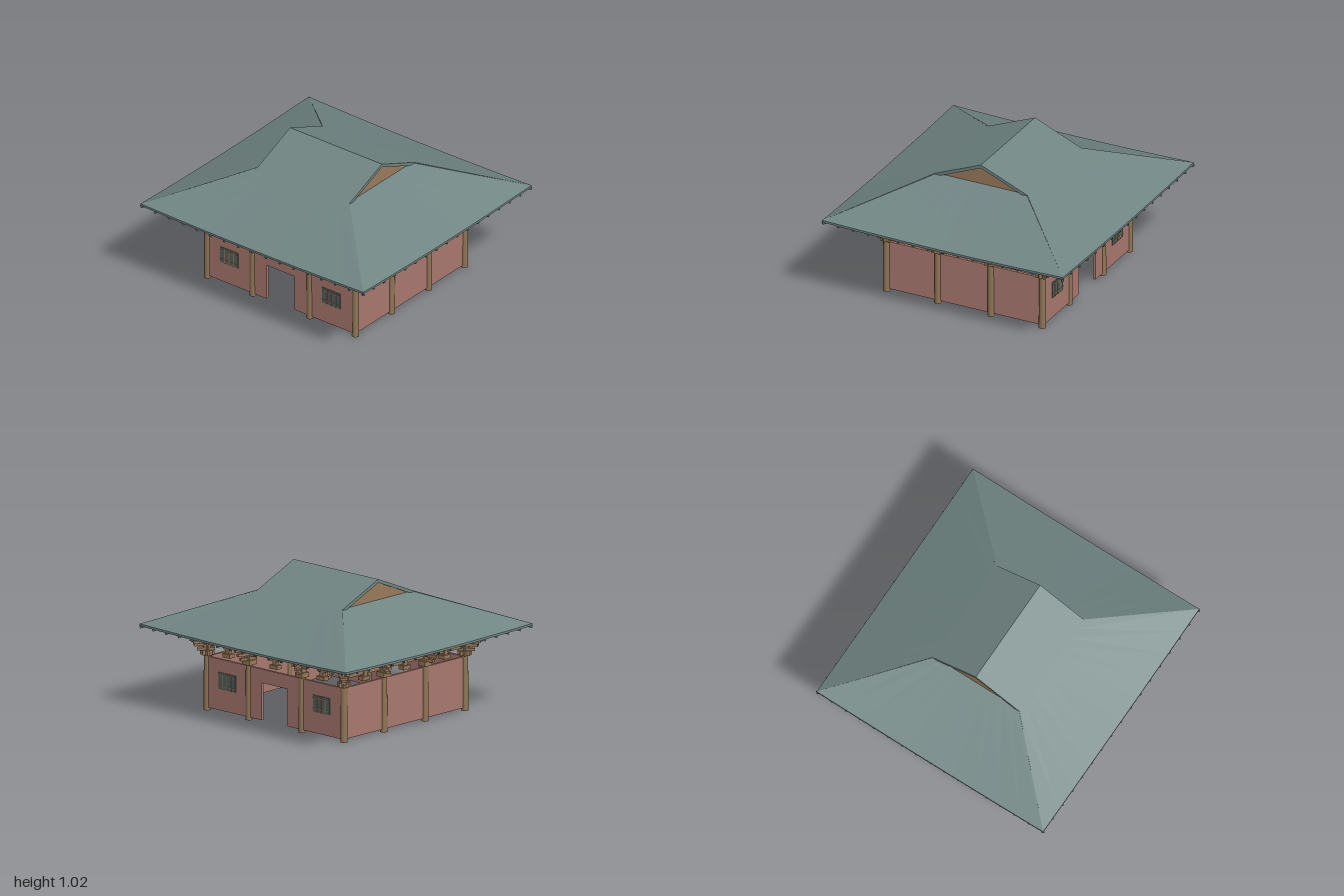
import * as THREE from 'three';

const mat = (name, color, side = THREE.FrontSide) => {
  const m = new THREE.MeshStandardMaterial({ color, side });
  m.name = name;
  return m;
};

export function createModel() {
  const tile = mat('roof teal', 0x708583, THREE.DoubleSide);
  const rafterTeal = mat('rafter teal', 0x5f7472);
  const plaster = mat('wall red', 0xaa7970);
  const columnWood = mat('column wood', 0x8f7556);
  const wood = mat('bracket wood', 0x98785a);
  const gableWood = mat('gable wood', 0x9a7b5c, THREE.DoubleSide);
  const grey = mat('truss grey', 0xa39a8e);
  const blue = mat('beam blue', 0x2b6f9e);
  const lattice = mat('window dark', 0x52615c);

  const model = new THREE.Group();
  model.name = 'hall';
  const add = (parent, name, geo, material, x = 0, y = 0, z = 0) => {
    const m = new THREE.Mesh(geo, material);
    m.name = name;
    m.position.set(x, y, z);
    parent.add(m);
    return m;
  };
  const box = (parent, name, material, w, h, d, x, y, z) =>
    add(parent, name, new THREE.BoxGeometry(w, h, d), material, x, y, z);
  // Square bar running from point a to point b
  const bar = (parent, name, material, a, b, w, h) => {
    const A = new THREE.Vector3(...a), B = new THREE.Vector3(...b);
    const m = box(parent, name, material, w, h, A.distanceTo(B), 0, 0, 0);
    m.position.copy(A).add(B).multiplyScalar(0.5);
    m.lookAt(B);
    return m;
  };
  const group = (name, parent = model) => {
    const g = new THREE.Group();
    g.name = name;
    parent.add(g);
    return g;
  };

  // ---- Columns ----
  const CX = 0.66, CZ = 0.615, columns = group('columns');
  const shaft = new THREE.CylinderGeometry(0.024, 0.026, 0.4, 16);
  for (const x of [-CX, -0.255, 0.255, CX])
    for (const z of [-CZ, -0.21, 0.21, CZ])
      if (Math.abs(x) === CX || Math.abs(z) === CZ) add(columns, 'column', shaft, columnWood, x, 0.2, z);

  // ---- Walls: door openings front and back, plain sides ----
  const walls = group('walls');
  const outline = [[-0.65, 0.02], [-0.125, 0.02], [-0.125, 0.29], [0.125, 0.29],
    [0.125, 0.02], [0.65, 0.02], [0.65, 0.39], [-0.65, 0.39]];
  const doorWall = new THREE.ExtrudeGeometry(
    new THREE.Shape(outline.map(p => new THREE.Vector2(...p))), { depth: 0.02, bevelEnabled: false });
  doorWall.translate(0, 0, -0.01);
  for (const s of [-1, 1]) {
    const side = group('doorWall', walls);
    side.rotation.y = s > 0 ? 0 : Math.PI;
    add(side, 'wall', doorWall, plaster, 0, 0, CZ);
    for (const x of [-0.455, 0.455]) {
      box(side, 'windowPane', lattice, 0.16, 0.12, 0.008, x, 0.235, CZ + 0.012);
      for (const k of [-1, 0, 1])
        box(side, 'windowBar', wood, 0.006, 0.12, 0.008, x + k * 0.04, 0.235, CZ + 0.015);
      for (const y of [0.2, 0.275])
        box(side, 'windowRail', wood, 0.16, 0.006, 0.008, x, y, CZ + 0.015);
    }
    box(walls, 'sideWall', plaster, 0.02, 0.37, 1.22, s * (CX - 0.005), 0.205, 0);
  }

  // ---- Ring beams ----
  const beams = group('ringBeams');
  for (const s of [-1, 1]) {
    box(beams, 'topBeam', wood, 1.33, 0.025, 0.03, 0, 0.58, s * CZ);
    box(beams, 'topSideBeam', wood, 0.03, 0.025, 1.25, s * (CX - 0.005), 0.58, 0);
    box(beams, 'lowSideBeam', wood, 0.025, 0.025, 1.25, s * (CX - 0.005), 0.468, 0);
  }

  // ---- Brackets: local +z points outward ----
  const trapezoid = (bottom, top, h, depth) => {
    const s = new THREE.Shape([[-bottom, 0], [bottom, 0], [top, h], [-top, h]].map(p => new THREE.Vector2(...p)));
    return new THREE.ExtrudeGeometry(s, { depth, bevelEnabled: false }).translate(0, 0, -depth / 2);
  };
  const brackets = group('brackets');
  const bracket = (x, z, turn, arm, onColumn) => {
    const g = group(onColumn ? 'columnBracket' : 'wallBracket', brackets);
    g.position.set(x, 0, z);
    g.rotation.y = turn;
    if (!onColumn) {
      box(g, 'foot', wood, 0.07, 0.028, 0.05, 0, 0.428, 0);
      box(g, 'neck', wood, 0.035, 0.03, 0.03, 0, 0.455, 0);
      add(g, 'crossArm', trapezoid(arm * 0.25, arm / 2, 0.028, 0.03), wood, 0, 0.47, 0);
      box(g, 'strut', wood, 0.02, 0.06, 0.02, 0, 0.54, 0);
      return;
    }
    box(g, 'cap', wood, 0.07, 0.035, 0.07, 0, 0.418, 0);
    box(g, 'neck', wood, 0.045, 0.04, 0.045, 0, 0.45, 0);
    add(g, 'crossArm', trapezoid(arm * 0.3, arm / 2, 0.03, 0.03), wood, 0, 0.465, 0);
    box(g, 'stack', wood, 0.025, 0.075, 0.03, 0, 0.53, 0);
    for (const y of [0.51, 0.54]) box(g, 'stackBlock', wood, 0.04, 0.012, 0.045, 0, y, 0);
    // Tiers of rising arms, with a short tail inside
    for (let i = 0; i < 3; i++)
      bar(g, 'risingArm', wood, [0, 0.43 + i * 0.028, -0.05], [0, 0.455 + i * 0.042, 0.07 + i * 0.025], 0.024, 0.02);
    box(g, 'tipBlock', wood, 0.035, 0.02, 0.02, 0, 0.555, 0.085);
  };
  for (const s of [-1, 1]) {
    const front = s > 0 ? 0 : Math.PI, side = s * Math.PI / 2;
    for (const x of [-0.255, 0.255]) bracket(x, s * CZ, front, 0.16, true);
    for (const x of [-0.455, 0, 0.455]) bracket(x, s * CZ, front, 0.12, false);
    for (const z of [-0.21, 0.21]) bracket(s * CX, z, side, 0.07, true);
    for (const z of [-0.41, 0, 0.41]) bracket(s * CX, z, side, 0.05, false);
    for (const t of [-1, 1]) {
      bracket(t * CX, s * CZ, front, 0.07, true);
      bracket(t * CX, s * CZ, t * Math.PI / 2, 0.07, true);
      bracket(t * CX, s * CZ, Math.atan2(t, s), 0.06, true);
    }
  }

  // ---- Inner trusses ----
  const trusses = group('trusses');
  for (const x of [-0.25, 0.25]) {
    const tiers = [[0.41, 0.31, 0.39, 0.05], [0.21, 0.19, 0.5, 0.045], [0.16, 0.1, 0.56, 0.04]];
    for (const [bottom, top, y, h] of tiers)
      add(trusses, 'trussBeam', trapezoid(bottom, top, h, 0.035), grey, x, y, 0).rotation.y = Math.PI / 2;
    for (const s of [-1, 1]) {
      box(trusses, 'trussPost', grey, 0.03, 0.07, 0.03, x, 0.47, s * 0.18);
      box(trusses, 'trussCrossArm', grey, 0.16, 0.015, 0.03, x, 0.512, s * 0.19);
      box(trusses, 'trussUpperArm', grey, 0.2, 0.015, 0.03, x, 0.54, s * 0.19);
      bar(trusses, 'trussBrace', wood, [x, 0.44, s * 0.36], [x, 0.61, s * 0.1], 0.02, 0.015);
    }
  }
  box(trusses, 'blueBeam', blue, 0.71, 0.016, 0.04, 0, 0.558, 0);

  // ---- Roof: slab patches swept from an inner edge to a gently lifted eave ----
  const GX = 0.41, GZ = 0.365, GY = 0.866, RY = 1.018, EX = 0.995, EZ = 0.95;
  const roof = group('roof');
  const eaveY = u => 0.61 + 0.014 * u * u;
  const slab = (name, point, nu, nv, t) => {
    const pos = [];
    const at = (i, j, low) => {
      const p = point(i / nu * 2 - 1, j / nv);
      return [p[0], p[1] - (low ? t : 0), p[2]];
    };
    const quad = (a, b, c, d) => pos.push(...a, ...b, ...c, ...a, ...c, ...d);
    for (let i = 0; i < nu; i++) {
      for (let j = 0; j < nv; j++) {
        quad(at(i, j), at(i, j + 1), at(i + 1, j + 1), at(i + 1, j));
        quad(at(i, j, 1), at(i + 1, j, 1), at(i + 1, j + 1, 1), at(i, j + 1, 1));
      }
      quad(at(i, nv), at(i, nv, 1), at(i + 1, nv, 1), at(i + 1, nv));
    }
    for (let j = 0; j < nv; j++) {
      quad(at(0, j), at(0, j, 1), at(0, j + 1, 1), at(0, j + 1));
      quad(at(nu, j), at(nu, j + 1), at(nu, j + 1, 1), at(nu, j, 1));
    }
    const g = new THREE.BufferGeometry();
    g.setAttribute('position', new THREE.Float32BufferAttribute(pos, 3));
    g.computeVertexNormals();
    return add(roof, name, g, tile);
  };
  const mix = THREE.MathUtils.lerp;
  for (const s of [-1, 1]) {
    const turn = s > 0 ? 0 : Math.PI;
    slab('upperSlope', (u, v) => [u * GX, mix(RY, GY, v), v * GZ], 1, 1, 0.025).rotation.y = turn;
    slab('mainSlope', (u, v) => [u * mix(GX, EX, v), mix(GY, eaveY(u), v), mix(GZ, EZ, v)],
      10, 1, 0.016).rotation.y = turn;
    slab('hipSlope', (u, v) => [mix(GX - 0.015, EX, v), mix(GY, eaveY(u), v), -u * mix(GZ, EZ, v)],
      10, 1, 0.016).rotation.y = turn;
    // Gable panel set just inside the roof ends
    const panel = new THREE.ShapeGeometry(new THREE.Shape([[-GZ, 0.845], [GZ, 0.845], [0, 0.997]]
      .map(p => new THREE.Vector2(...p))));
    add(roof, 'gablePanel', panel, gableWood, s * (GX - 0.013), 0, 0).rotation.y = s * Math.PI / 2;
  }

  // ---- Fanned rafters beneath the eaves ----
  const rafters = group('rafters');
  for (const s of [-1, 1]) {
    for (let i = -7; i <= 7; i++) {
      const u = i / 8, y = eaveY(u) - 0.023;
      bar(rafters, 'rafter', rafterTeal, [u * GX, GY - 0.03, s * GZ], [u * EX, y, s * (EZ + 0.003)], 0.014, 0.014);
      bar(rafters, 'sideRafter', rafterTeal, [s * GX, GY - 0.03, u * GZ], [s * EX, y, u * EZ], 0.014, 0.014);
    }
    for (const t of [-1, 1])
      bar(rafters, 'hipRafter', rafterTeal, [t * GX, GY - 0.03, s * GZ], [t * EX, 0.6, s * EZ], 0.018, 0.018);
  }
  return model;
}
